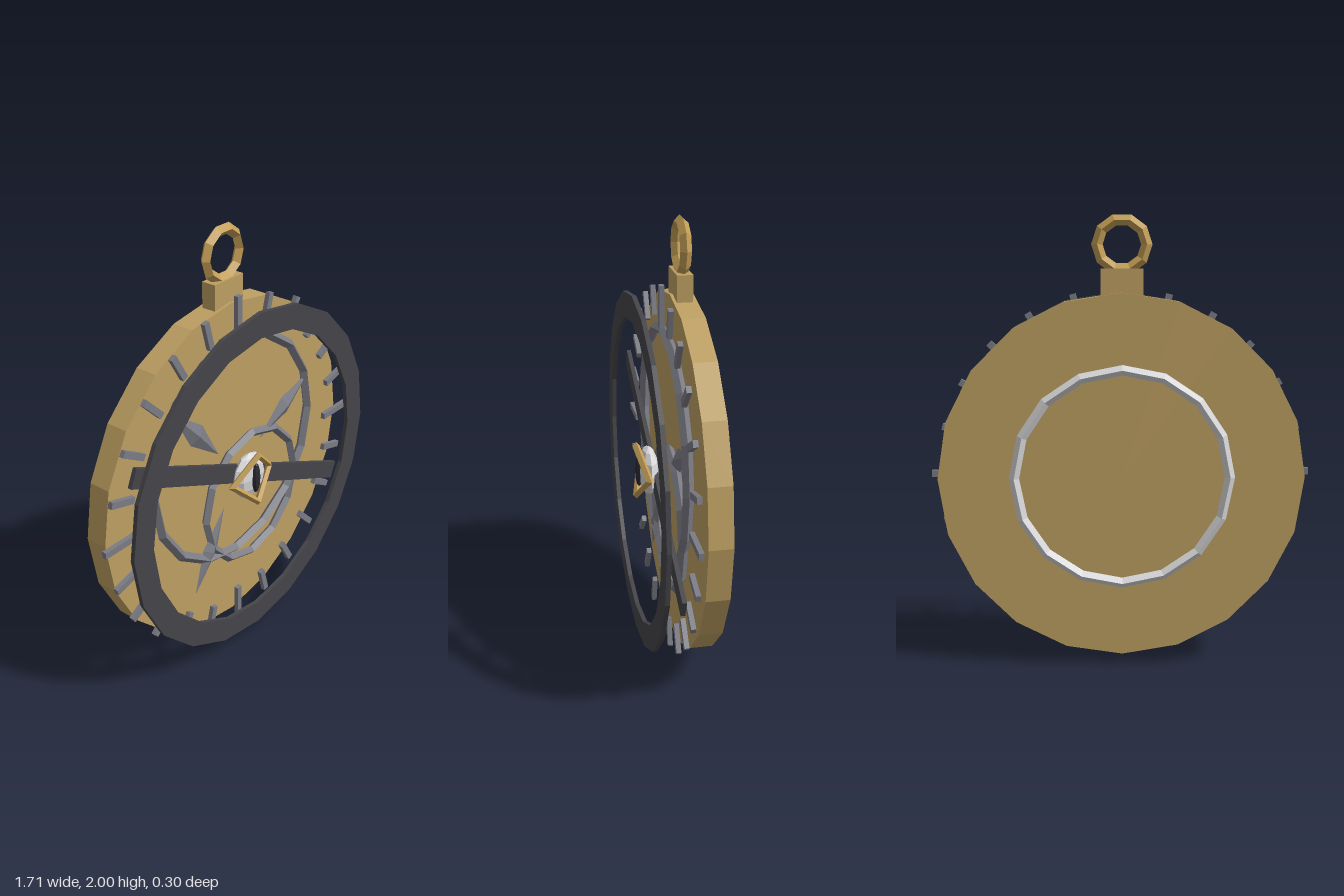
import * as THREE from 'three';

const CY = 0.855; // height of the dial centre

export function createModel() {
  const mat = (name, color) => {
    const m = new THREE.MeshStandardMaterial({ color, flatShading: true });
    m.name = name;
    return m;
  };
  const gold = mat('gold', 0xbd9f62);
  const brass = mat('brass', 0xc29d55);
  const dark = mat('dark iron', 0x45454a);
  const steel = mat('steel', 0x7b7b85);
  const silver = mat('silver', 0xd8d8da);
  const black = mat('pupil black', 0x29292f);

  const model = new THREE.Group();
  model.name = 'pendantDial';
  const add = (name, geo, material, x, y, z, parent = model) => {
    const m = new THREE.Mesh(geo, material);
    m.name = name;
    m.position.set(x, y, z);
    parent.add(m);
    return m;
  };

  // Case, neck and hanging loop
  const disc = new THREE.CylinderGeometry(0.813, 0.813, 0.103, 20).rotateX(Math.PI / 2);
  add('caseDisc', disc, gold, 0, CY, -0.076);
  add('neck', new THREE.BoxGeometry(0.185, 0.16, 0.07), gold, 0, 1.69, -0.073);
  add('hangingLoop', new THREE.TorusGeometry(0.108, 0.025, 4, 10), brass, 0, 1.873, -0.073);

  // Ring set into the back
  add('backRing', new THREE.TorusGeometry(0.478, 0.023, 4, 16), silver, 0, CY, -0.13);

  // Front bezel
  const bezel = new THREE.Shape();
  const hole = new THREE.Path();
  const polygon = (path, r) => {
    for (let i = 0; i < 20; i++) {
      const a = (i / 20) * Math.PI * 2;
      path[i ? 'lineTo' : 'moveTo'](r * Math.cos(a), r * Math.sin(a));
    }
    path.closePath();
  };
  polygon(bezel, 0.813);
  polygon(hole, 0.698);
  bezel.holes.push(hole);
  add('bezel', new THREE.ExtrudeGeometry(bezel, { depth: 0.02, bevelEnabled: false }), dark, 0, CY, 0.12);

  // Crossbar behind the bezel
  add('crossbar', new THREE.BoxGeometry(1.556, 0.088, 0.02), dark, 0, CY, 0.051)
    .rotation.z = -THREE.MathUtils.degToRad(23.8);

  // Hour ticks, longer at the quarters
  for (let i = 0; i < 24; i++) {
    const a = (i / 24) * Math.PI * 2;
    const [r0, r1] = i % 6 === 0 ? [0.667, 0.855] : [0.7, 0.832];
    const r = (r0 + r1) / 2;
    add('tick', new THREE.BoxGeometry(r1 - r0, 0.03, 0.022), steel,
      r * Math.cos(a), CY + r * Math.sin(a), 0.012).rotation.z = a;
  }

  // Offset orbit rings
  add('largeOrbit', new THREE.TorusGeometry(0.543, 0.024, 4, 16), steel, 0, 0.965, 0);
  add('smallOrbit', new THREE.TorusGeometry(0.33, 0.022, 4, 12), steel, 0.115, 0.67, 0);

  // Pointed blades aimed at the hub
  for (const deg of [28.4, 132.3, 241.1]) {
    const a = THREE.MathUtils.degToRad(deg);
    const blade = new THREE.OctahedronGeometry(1).scale(0.216, 0.052, 0.024);
    add('blade', blade, steel, 0.402 * Math.cos(a), CY + 0.402 * Math.sin(a), 0.002).rotation.z = a;
  }

  // Eye at the hub
  const eye = new THREE.Group();
  eye.name = 'eye';
  eye.position.set(0, CY, 0);
  model.add(eye);
  add('eyeball', new THREE.SphereGeometry(1, 8, 6).scale(0.105, 0.112, 0.046), silver, 0, 0, 0.073, eye);
  add('pupil', new THREE.SphereGeometry(1, 8, 6).scale(0.023, 0.078, 0.018), black, 0, 0, 0.116, eye);

  // Diamond eyelids, swept back at the side corners
  const lids = new THREE.TorusGeometry(0.131, 0.021, 4, 4);
  const p = lids.attributes.position;
  for (let i = 0; i < p.count; i++) {
    const x = p.getX(i);
    p.setXYZ(i, x, p.getY(i) * 0.93, p.getZ(i) * 0.8 + 0.128 - 0.3 * Math.abs(x));
  }
  lids.computeVertexNormals();
  add('eyelids', lids, brass, 0, 0, 0, eye);

  return model;
}
